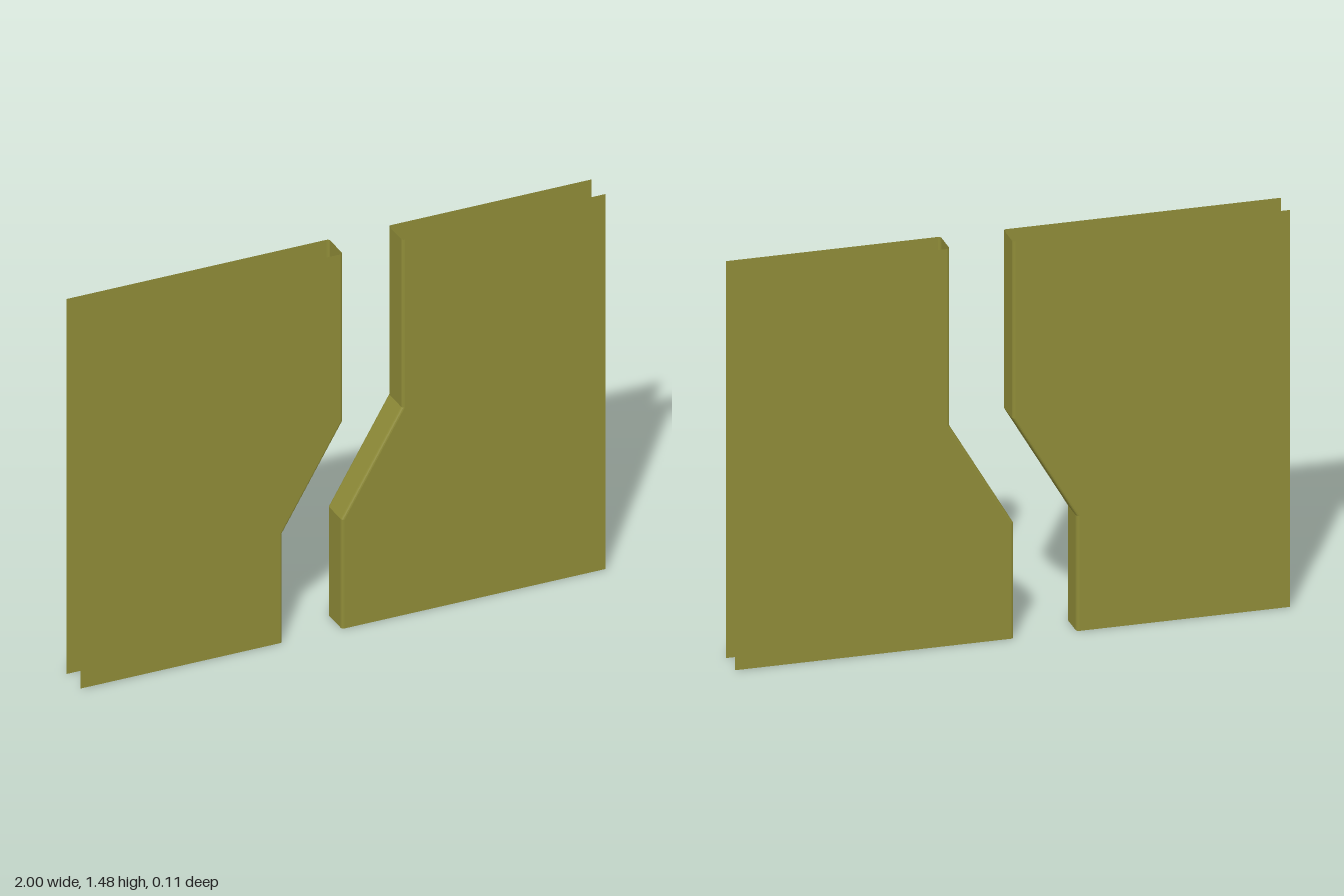
import * as THREE from 'three';

const HALF = 0.057;   // half thickness of a panel
const ROUND = 0.01;   // rounding where faces meet the gap wall
const STEPS = 3;

// One folded sheet: front face, wall along the gap and back face; other sides are open.
// side is +1 when the gap wall faces +x, -1 when it faces -x.
function foldedPanel(name, side, edge, material) {
  // Cross-section: inset from the gap edge (null = outer border) and depth
  const section = [[null, HALF]];
  for (const dir of [1, -1]) {
    for (let i = 0; i <= STEPS; i++) {
      const a = (dir > 0 ? i : STEPS - i) / STEPS * Math.PI / 2;
      section.push([ROUND * (1 - Math.sin(a)), dir * (HALF - ROUND + ROUND * Math.cos(a))]);
    }
  }
  section.push([null, -HALF]);

  const positions = [];
  const corner = (row, col) => {
    const [x, y] = edge[row];
    const [inset, z] = section[col];
    positions.push(inset === null ? -side : x - side * inset, y, side * z);
  };
  for (let r = 0; r < edge.length - 1; r++) {
    for (let c = 0; c < section.length - 1; c++) {
      corner(r, c); corner(r, c + 1); corner(r + 1, c + 1);
      corner(r, c); corner(r + 1, c + 1); corner(r + 1, c);
    }
  }
  const geometry = new THREE.BufferGeometry();
  geometry.setAttribute('position', new THREE.Float32BufferAttribute(positions, 3));
  geometry.computeVertexNormals();
  const mesh = new THREE.Mesh(geometry, material);
  mesh.name = name;
  return mesh;
}

export function createModel() {
  const group = new THREE.Group();
  group.name = 'splitWall';
  const material = new THREE.MeshStandardMaterial({ color: 0x8f8c38, side: THREE.DoubleSide });

  // Gap outlines, from the bottom up
  const rightEdge = [[-0.23, 0], [-0.23, 0.43], [0, 0.82], [0, 1.483]];
  const leftEdge = [[-0.004, 0], [-0.004, 0.43], [0.226, 0.82], [0.226, 1.483]];

  group.add(foldedPanel('rightPanel', 1, rightEdge, material));
  group.add(foldedPanel('leftPanel', -1, leftEdge, material));
  return group;
}
